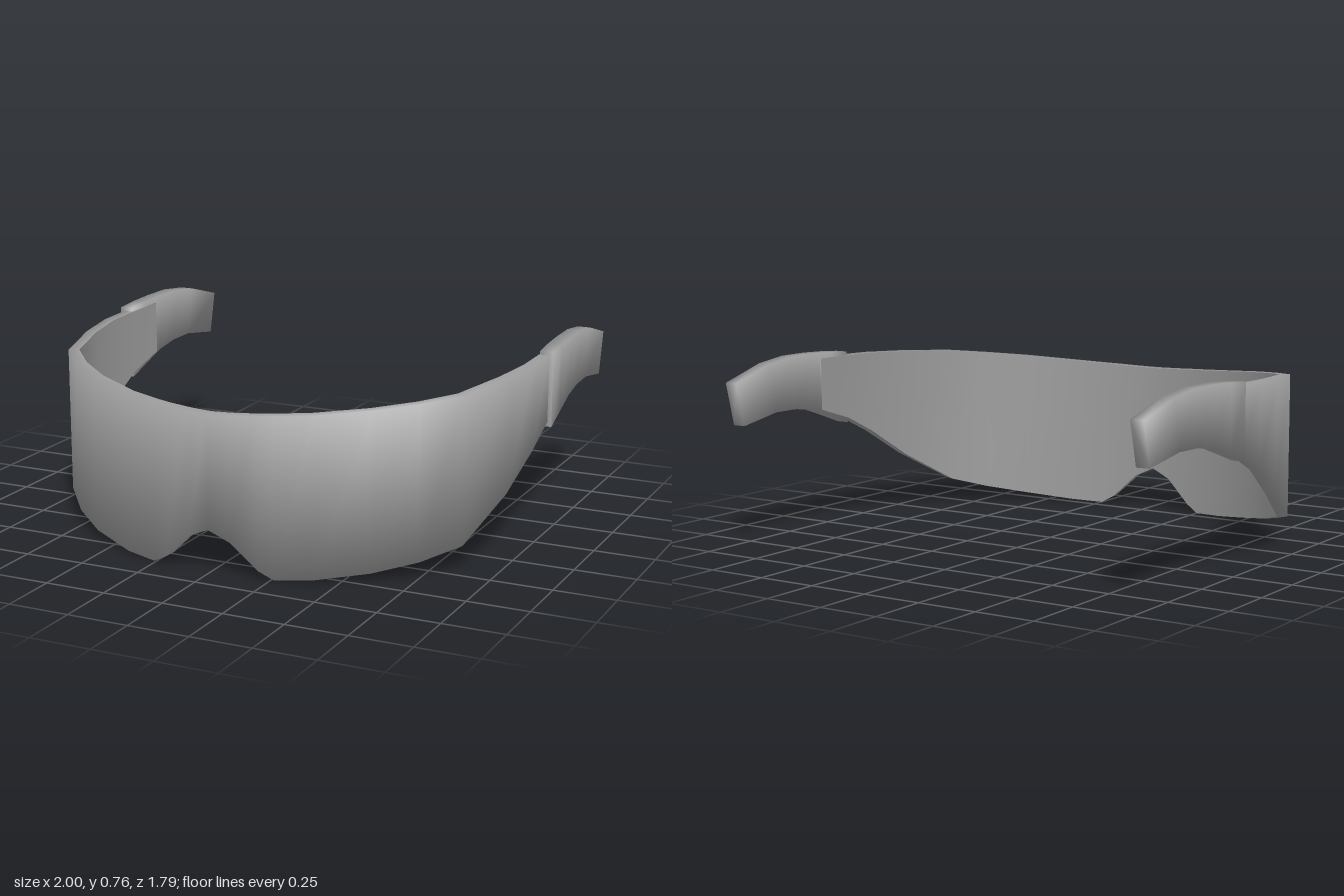
import * as THREE from 'three';
import { mergeGeometries, toCreasedNormals } from 'three/addons/utils/BufferGeometryUtils.js';

const material = new THREE.MeshStandardMaterial({ color: 0x9c9c9c });
const SMOOTH = 1.75; // rounds the shading over right-angled rims

// Loft four-cornered sections (outer bottom, outer top, inner top, inner bottom).
// With sharpInner the inner face is shaded apart from the rims.
function loft(name, sections, sharpInner = false) {
  const body = [], inner = sharpInner ? [] : body;
  const last = (sections.length - 1) * 4;
  for (let i = 0; i < last; i += 4) {
    for (let k = 0; k < 4; k++) {
      const n = (k + 1) % 4;
      (k === 2 ? inner : body).push(i + k, i + 4 + k, i + 4 + n, i + k, i + 4 + n, i + n);
    }
  }
  body.push(0, 1, 2, 0, 2, 3);
  body.push(last, last + 2, last + 1, last, last + 3, last + 2);
  const shells = (sharpInner ? [body, inner] : [body]).map((index) => {
    const geometry = new THREE.BufferGeometry();
    geometry.setAttribute('position', new THREE.Float32BufferAttribute(sections.flat(2), 3));
    geometry.setIndex(index);
    return toCreasedNormals(geometry, SMOOTH);
  });
  const mesh = new THREE.Mesh(mergeGeometries(shells), material);
  mesh.name = name;
  return mesh;
}

// Mirror sections to the other side, keeping the winding
const mirror = (sections) =>
  sections.map((s) => s.map(([x, y, z]) => [-x, y, z])).reverse();

function createVisor() {
  // Half outline of the outer face: x, z, bottom y, top y
  const half = [
    [0, 0.893, 0.175, 0.633], [0.09, 0.887, 0.135, 0.635], [0.2, 0.87, 0.033, 0.64],
    [0.26, 0.855, 0, 0.643], [0.4, 0.813, 0.007, 0.652], [0.6, 0.715, 0.034, 0.67],
    [0.75, 0.6, 0.065, 0.685], [0.872, 0.465, 0.107, 0.7], [0.948, 0.2, 0.25, 0.716],
    [0.98, 0, 0.375, 0.725], [0.983, -0.17, 0.455, 0.729], [0.974, -0.36, 0.512, 0.732],
  ];
  const line = [...half.slice(1).reverse().map(([x, ...r]) => [-x, ...r]), ...half];
  const thickness = 0.044;
  return loft('visor', line.map(([x, z, y0, y1], i) => {
    const a = line[Math.max(i - 1, 0)];
    const b = line[Math.min(i + 1, line.length - 1)];
    const dx = b[0] - a[0], dz = b[1] - a[1], len = Math.hypot(dx, dz);
    const xi = x + (dz / len) * thickness;
    const zi = z - (dx / len) * thickness;
    return [[x, y0, z], [x, y1, z], [xi, y1, zi], [xi, y0, zi]];
  }), true);
}

// Curved side arm: outer x, inner x, bottom z and y, top z and y
const arm = [
  [1, 0.943, -0.17, 0.435, -0.17, 0.744],
  [0.998, 0.939, -0.28, 0.474, -0.28, 0.752],
  [0.994, 0.936, -0.4, 0.514, -0.4, 0.757],
  [0.99, 0.933, -0.52, 0.533, -0.54, 0.757],
  [0.986, 0.93, -0.65, 0.535, -0.69, 0.739],
  [0.98, 0.924, -0.855, 0.502, -0.898, 0.68],
].map(([xo, xi, zb, yb, zt, yt]) => [[xo, yb, zb], [xo, yt, zt], [xi, yt, zt], [xi, yb, zb]]);

export function createModel() {
  const group = new THREE.Group();
  group.name = 'visorGlasses';
  group.add(createVisor(), loft('leftArm', arm), loft('rightArm', mirror(arm)));
  return group;
}
